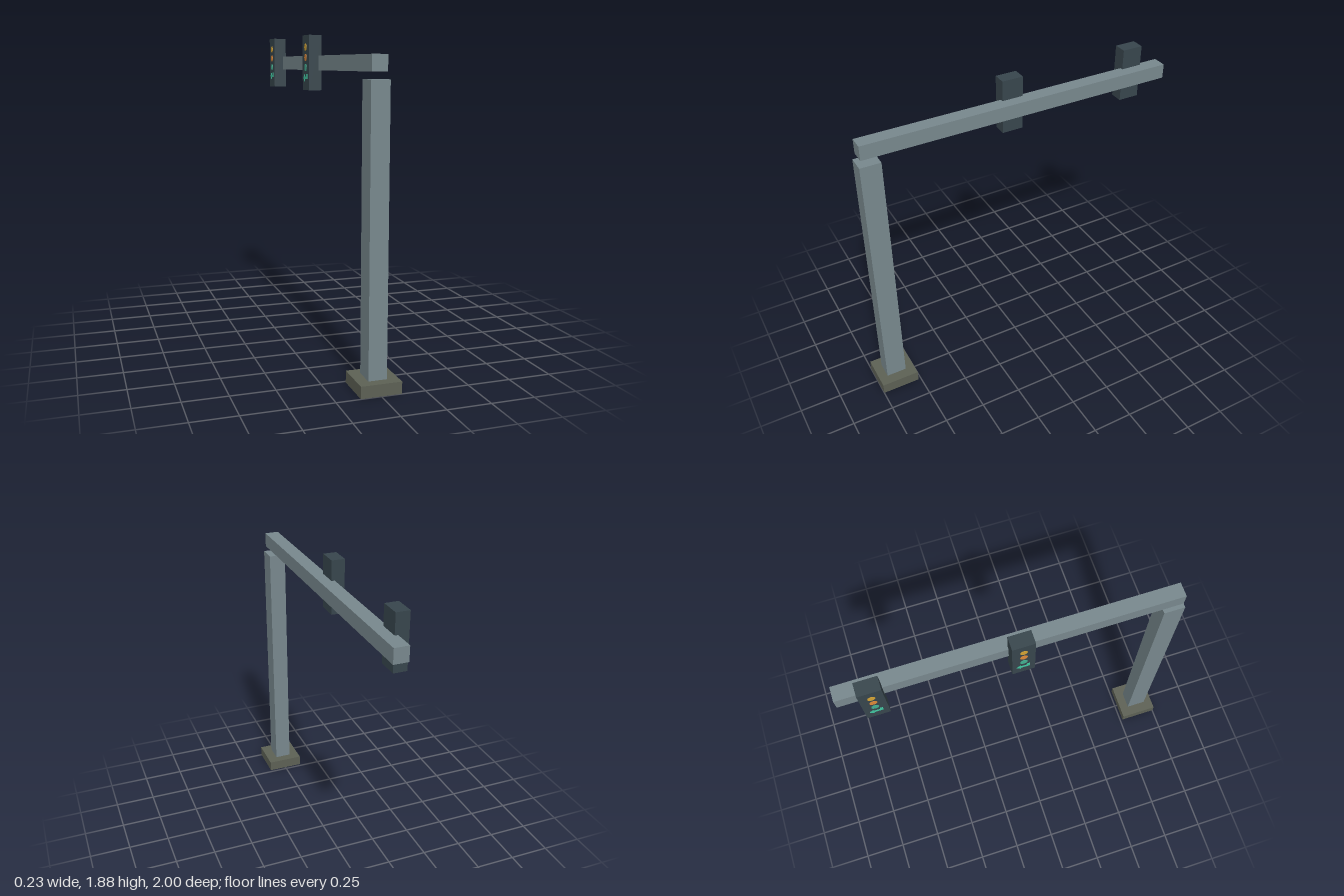
import * as THREE from 'three';

const paint = (name, color) => {
  const m = new THREE.MeshStandardMaterial({ color });
  m.name = name;
  return m;
};

export function createModel() {
  const steel = paint('greySteel', 0x77878c);
  const housing = paint('darkHousing', 0x37454c);
  const concrete = paint('concrete', 0x5c6054);
  const yellow = paint('yellowLens', 0xd2a233);
  const orange = paint('orangeLens', 0xdb8838);
  const teal = paint('tealLens', 0x42ae90);
  const green = paint('greenArrow', 0x3fc49e);

  const model = new THREE.Group();
  model.name = 'signalGantry';

  // Box given by its extents on each axis
  const box = (name, mat, [x0, x1], [y0, y1], [z0, z1], parent = model) => {
    const mesh = new THREE.Mesh(new THREE.BoxGeometry(x1 - x0, y1 - y0, z1 - z0), mat);
    mesh.position.set((x0 + x1) / 2, (y0 + y1) / 2, (z0 + z1) / 2);
    mesh.name = name;
    parent.add(mesh);
    return mesh;
  };

  // Footing, column standing through it, and the long arm
  box('footing', concrete, [-0.115, 0.115], [0.001, 0.068], [0.767, 1]);
  box('column', steel, [-0.053, 0.051], [0, 1.63], [0.823, 0.946]);
  box('arm', steel, [-0.044, 0.042], [1.668, 1.755], [-1, 0.932]);

  // Bent arrow outline, drawn face-on
  const arrow = new THREE.Shape([
    [-0.04, 0], [-0.016, 0.022], [-0.016, 0.007], [0.018, 0.007], [0.018, 0.022],
    [0.034, 0.022], [0.034, -0.008], [-0.016, -0.008], [-0.016, -0.022],
  ].map(([x, y]) => new THREE.Vector2(x, y)));
  const arrowGeometry = new THREE.ExtrudeGeometry(arrow, { depth: 0.004, bevelEnabled: false });
  const lensGeometry = new THREE.CylinderGeometry(0.021, 0.021, 0.004, 12).rotateZ(Math.PI / 2);

  // Signal heads with lenses on the -x face
  [-0.001, -0.808].forEach((z, i) => {
    const head = new THREE.Group();
    head.name = `signalHead${i + 1}`;
    head.position.set(0, 0, z);
    model.add(head);
    box('signalHousing', housing, [-0.105, -0.025], [1.55, 1.875], [-0.064, 0.064], head);

    [['upperLens', yellow, 1.804], ['middleLens', orange, 1.743], ['lowerLens', teal, 1.683]]
      .forEach(([name, mat, y]) => {
        const lens = new THREE.Mesh(lensGeometry, mat);
        lens.name = name;
        lens.position.set(-0.106, y, 0);
        head.add(lens);
      });

    const turn = new THREE.Mesh(arrowGeometry, green);
    turn.name = 'turnArrow';
    turn.rotation.y = -Math.PI / 2;
    turn.position.set(-0.104, 1.623, 0);
    head.add(turn);
  });

  return model;
}
